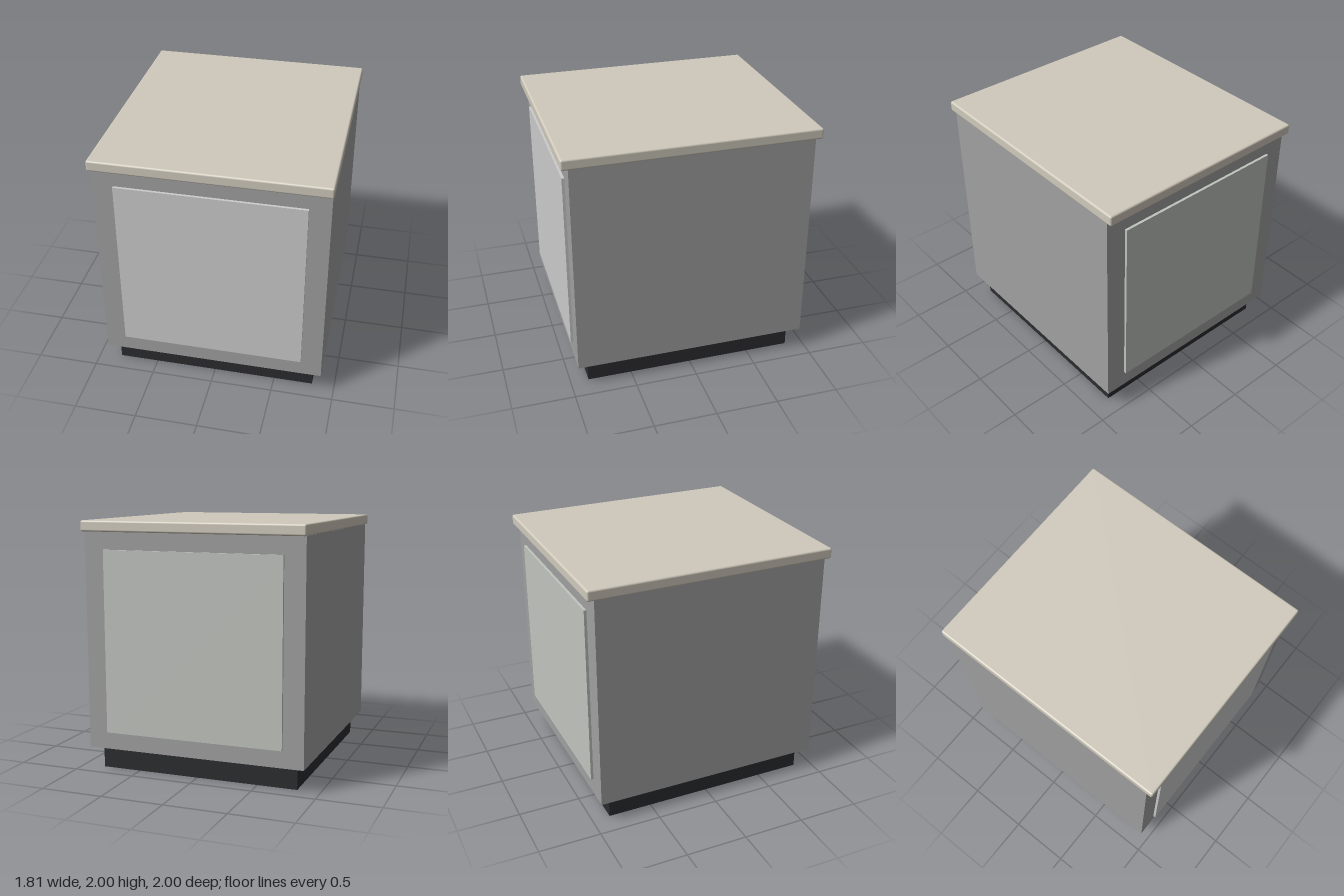
import * as THREE from 'three';
import { RoundedBoxGeometry } from 'three/addons/geometries/RoundedBoxGeometry.js';

const material = (color) => new THREE.MeshStandardMaterial({ color });

export function createModel() {
  const model = new THREE.Group();
  model.name = 'cabinet';

  const add = (name, geometry, mat, y, z = 0) => {
    const mesh = new THREE.Mesh(geometry, mat);
    mesh.name = name;
    mesh.position.set(0, y, z);
    model.add(mesh);
  };

  // Recessed dark base
  add('plinth', new THREE.BoxGeometry(1.636, 0.187, 1.71), material(0x2b2c2f), 0.0935);

  // Cabinet carcass
  add('body', new THREE.BoxGeometry(1.786, 1.73, 1.89), material(0xa0a0a0), 1.05);

  // Raised panels on the front and the back
  const panel = new THREE.BoxGeometry(1.456, 1.452, 0.03);
  add('frontPanel', panel, material(0xc4c4c1), 1.05, 0.951);
  add('backPanel', panel, material(0xc0c4be), 1.05, -0.951);

  // Worktop with softly rounded edges
  add('worktop', new RoundedBoxGeometry(1.81, 0.085, 2, 4, 0.015), material(0xd0cabc), 1.9575);

  return model;
}
